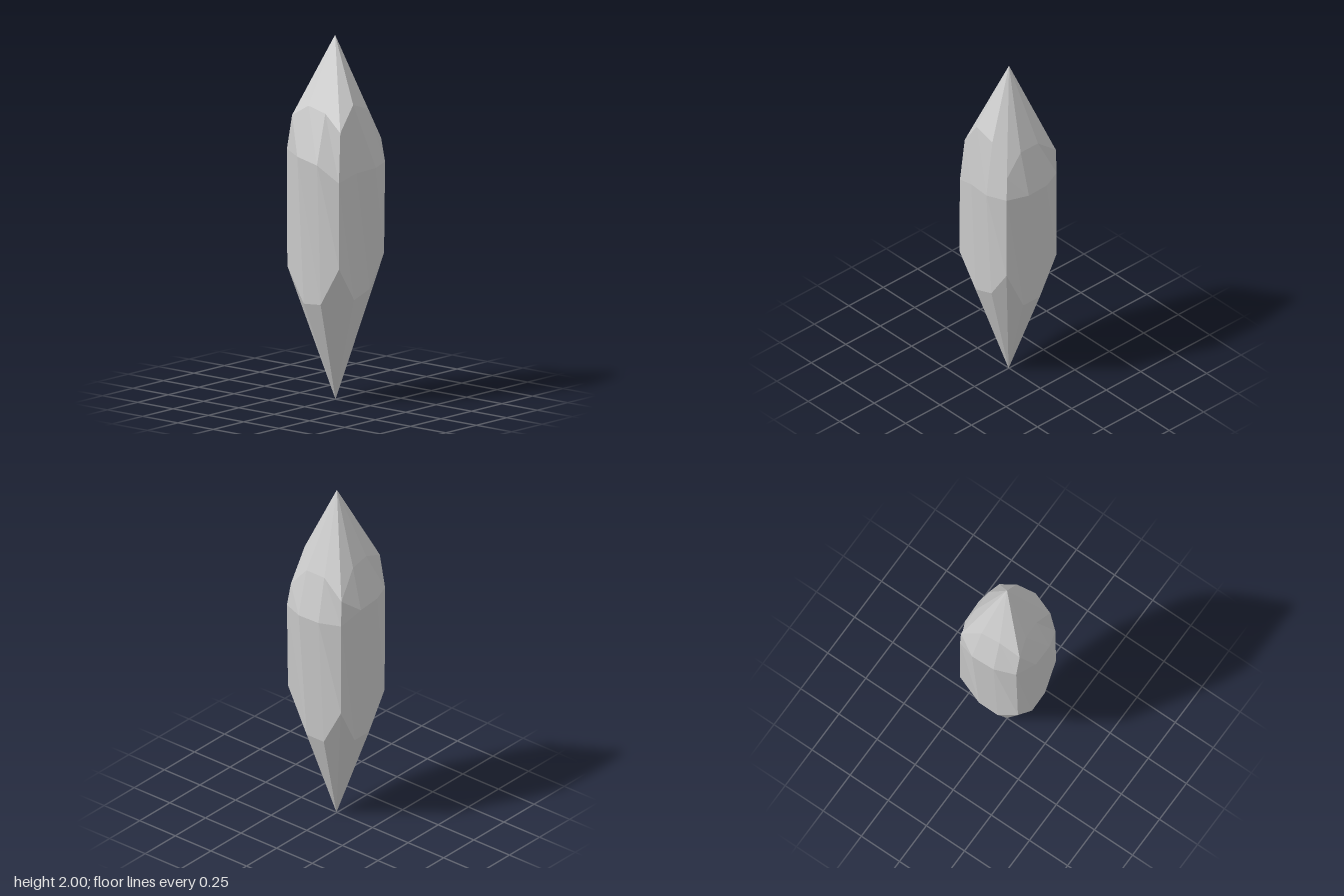
import * as THREE from 'three';

// Each column runs down the crystal: [x, y, z] at the crown edge, the girdle and the lower edge
const columns = [
  [[-0.05, 1.63, 0.16], [-0.065, 1.36, 0.235], [-0.05, 0.55, 0.2]],
  [[0.06, 1.6, 0.15], [0.07, 1.33, 0.23], [0.07, 0.56, 0.2]],
  [[0.175, 1.51, 0.16], [0.187, 1.24, 0.185], [0.19, 0.77, 0.187]], // front left corner
  [[0.18, 1.65, 0.06], [0.21, 1.28, 0.07], [0.187, 0.58, 0.06]],
  [[0.175, 1.61, -0.06], [0.228, 1.29, -0.07], [0.187, 0.62, -0.065]],
  [[0.175, 1.43, -0.175], [0.19, 1.3, -0.19], [0.187, 0.8, -0.185]], // back left corner
  [[0.07, 1.55, -0.17], [0.07, 1.3, -0.235], [0.06, 0.54, -0.18]],
  [[-0.055, 1.55, -0.17], [-0.065, 1.3, -0.23], [-0.06, 0.54, -0.18]],
  [[-0.18, 1.45, -0.175], [-0.182, 1.3, -0.18], [-0.18, 0.76, -0.18]], // back right corner
  [[-0.16, 1.6, -0.055], [-0.228, 1.37, -0.07], [-0.175, 0.54, -0.06]],
  [[-0.155, 1.62, 0.06], [-0.225, 1.38, 0.07], [-0.175, 0.54, 0.06]],
  [[-0.145, 1.57, 0.185], [-0.18, 1.38, 0.187], [-0.172, 0.74, 0.193]], // front right corner
];

const topTip = [0, 2, 0];
const bottomTip = [0.003, 0, 0];

function crystalGeometry() {
  const positions = [];
  const triangle = (a, b, c) => positions.push(...a, ...b, ...c);

  columns.forEach((left, i) => {
    const right = columns[(i + 1) % columns.length];
    // pointed crown
    triangle(topTip, left[0], right[0]);
    // bevel below the crown, then the long shaft
    for (let r = 0; r < 2; r++) {
      triangle(left[r], left[r + 1], right[r + 1]);
      triangle(left[r], right[r + 1], right[r]);
    }
    // pointed base
    triangle(left[2], bottomTip, right[2]);
  });

  const geometry = new THREE.BufferGeometry();
  geometry.setAttribute('position', new THREE.Float32BufferAttribute(positions, 3));
  geometry.computeVertexNormals();
  return geometry;
}

export function createModel() {
  const group = new THREE.Group();
  group.name = 'crystalShard';
  const crystal = new THREE.Mesh(
    crystalGeometry(),
    new THREE.MeshStandardMaterial({ color: 0xcccccc, flatShading: true })
  );
  crystal.name = 'crystal';
  group.add(crystal);
  return group;
}
